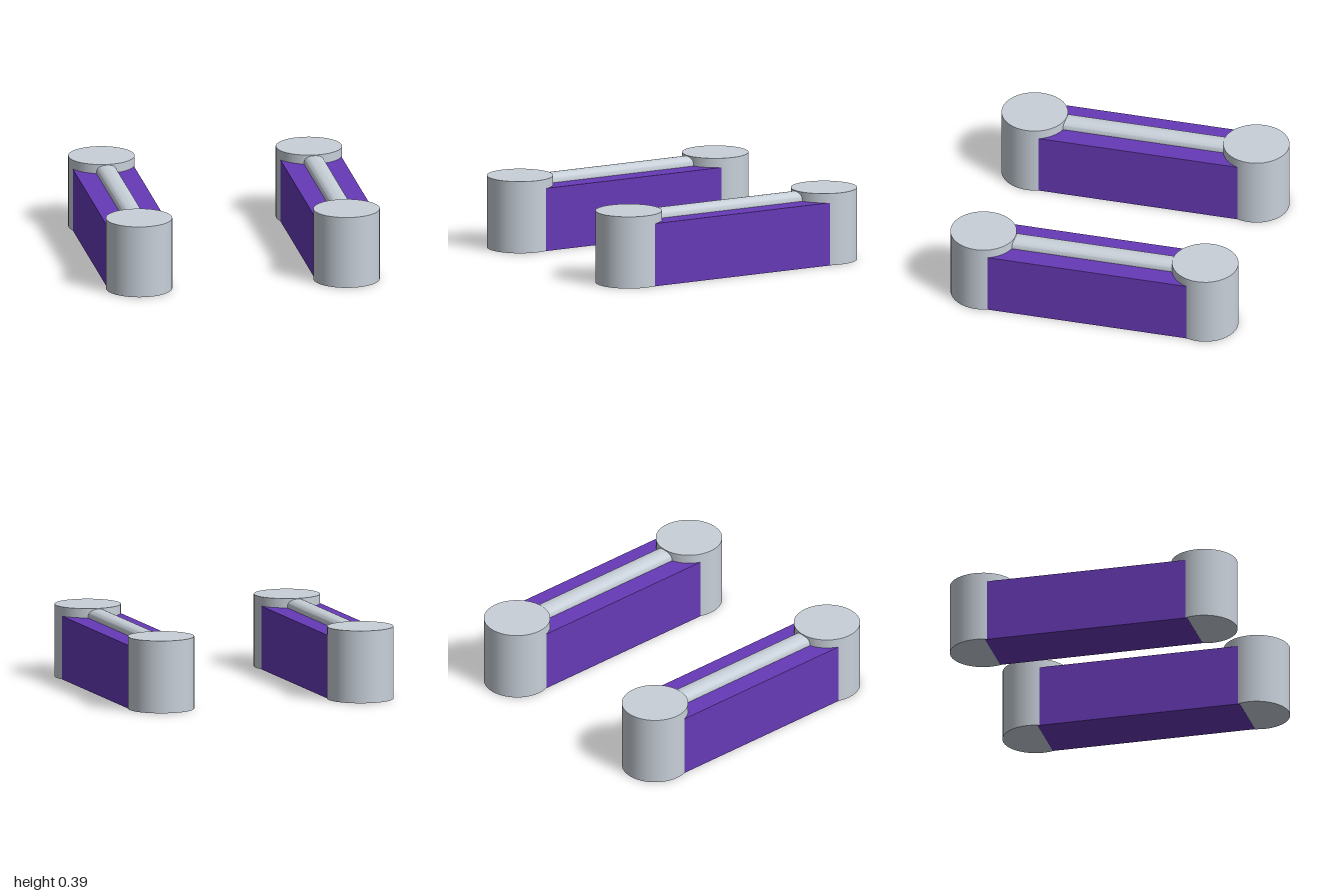
import * as THREE from 'three';
import { toCreasedNormals } from 'three/addons/utils/BufferGeometryUtils.js';

const purple = new THREE.MeshStandardMaterial({ color: 0x673ab7 });
purple.name = 'purple';
const grey = new THREE.MeshStandardMaterial({ color: 0xc8d0d9 });
grey.name = 'pale grey';

const POST_SPACING = 1.215, POST_RADIUS = 0.177, HEIGHT = 0.39;
const WALL_TOP = 0.34, ANGLE = Math.atan2(0.727, 0.973);

// Low rounded bar lying along x
function railGeometry(length) {
  const w = 0.055, h = 0.046;
  const s = new THREE.Shape();
  s.moveTo(-w, -0.02);
  s.lineTo(w, -0.02);
  s.lineTo(w, 0.005);
  s.bezierCurveTo(w, h * 0.65, w * 0.65, h, 0, h);
  s.bezierCurveTo(-w * 0.65, h, -w, h * 0.65, -w, 0.005);
  const g = new THREE.ExtrudeGeometry(s, { depth: length, bevelEnabled: false, curveSegments: 10 });
  g.translate(0, 0, -length / 2);
  g.rotateY(Math.PI / 2);
  return toCreasedNormals(g, 0.7);
}

function makeBarrier(name) {
  const barrier = new THREE.Group();
  barrier.name = name;
  const add = (geometry, material, partName, x, y) => {
    const mesh = new THREE.Mesh(geometry, material);
    mesh.name = partName;
    mesh.position.set(x, y, 0);
    barrier.add(mesh);
  };

  // Wall between the posts
  add(new THREE.BoxGeometry(1.11, WALL_TOP, 0.33), purple, 'wall', 0, WALL_TOP / 2);

  // Rail along the top of the wall
  add(railGeometry(1.1), grey, 'topRail', 0, WALL_TOP);

  // Round end posts, a hair above the wall's underside
  const lift = 0.001;
  const post = new THREE.CylinderGeometry(POST_RADIUS, POST_RADIUS, HEIGHT - lift, 40);
  for (const side of [-1, 1]) {
    add(post, grey, side < 0 ? 'rightPost' : 'leftPost', side * POST_SPACING / 2, (HEIGHT + lift) / 2);
  }
  return barrier;
}

export function createModel() {
  const model = new THREE.Group();
  model.name = 'barriers';
  // Two parallel barriers set diagonally
  for (const side of [-1, 1]) {
    const barrier = makeBarrier(side < 0 ? 'frontBarrier' : 'backBarrier');
    barrier.position.set(side * 0.336, 0, -side * 0.447);
    barrier.rotation.y = -ANGLE;
    model.add(barrier);
  }
  return model;
}
